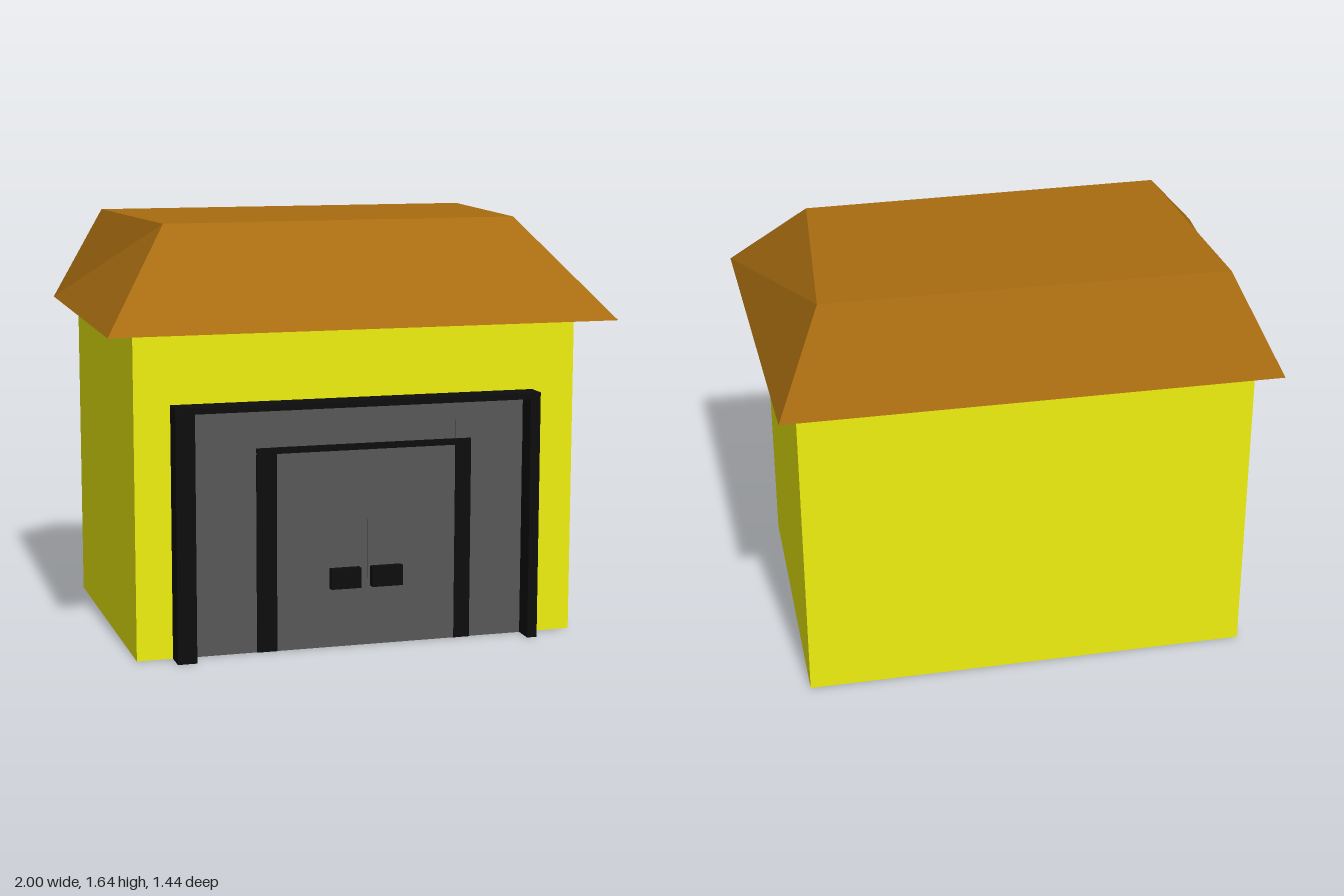
import * as THREE from 'three';

const paint = (color) => new THREE.MeshStandardMaterial({ color, flatShading: true });

// Box given by its minimum and maximum corners
function block(parent, name, mat, [x0, y0, z0], [x1, y1, z1]) {
  const geo = new THREE.BoxGeometry(x1 - x0, y1 - y0, z1 - z0);
  geo.translate((x0 + x1) / 2, (y0 + y1) / 2, (z0 + z1) / 2);
  const mesh = new THREE.Mesh(geo, mat);
  mesh.name = name;
  parent.add(mesh);
  return mesh;
}

// Mesh of flat quads, corners counter-clockwise seen from outside
function quads(parent, name, mat, faces) {
  const pos = faces.flatMap(([a, b, c, d]) => [a, b, c, a, c, d]).flat();
  const geo = new THREE.BufferGeometry();
  geo.setAttribute('position', new THREE.Float32BufferAttribute(pos, 3));
  geo.computeVertexNormals();
  const mesh = new THREE.Mesh(geo, mat);
  mesh.name = name;
  parent.add(mesh);
}

export function createModel() {
  const model = new THREE.Group();
  model.name = 'garage';
  const yellow = paint(0xf0f010), brown = paint(0xa86c10);
  const black = paint(0x0d0d0d), darkGrey = paint(0x575757), grey = paint(0xcccccc);
  const wallZ = 0.565;

  // Walls
  block(model, 'walls', yellow, [-0.88, 0, -0.63], [0.88, 1.26, wallZ]);

  // Slightly skewed hipped roof with a flat top
  const eaves = [[-1, 0.72], [1, 0.72], [0.95, -0.7], [-0.97, -0.72]].map(([x, z]) => [x, 1.26, z]);
  const crown = [[-0.71, 0.33], [0.71, 0.33], [0.77, -0.51], [-0.79, -0.54]].map(([x, z]) => [x, 1.64, z]);
  const slopes = eaves.map((e, i) => {
    const j = (i + 1) % 4;
    return [e, eaves[j], crown[j], crown[i]];
  });
  quads(model, 'roof', brown, [...slopes, crown]);
  quads(model, 'roofUnderside', grey, [[...eaves].reverse()]);

  // Projecting outer frame
  const frame = new THREE.Group();
  frame.name = 'outerFrame';
  model.add(frame);
  block(frame, 'frameLeftPost', black, [0.67, 0, wallZ], [0.71, 0.955, 0.655]);
  block(frame, 'frameRightPost', black, [-0.74, 0, wallZ], [-0.665, 0.955, 0.655]);
  block(frame, 'frameLintel', black, [-0.74, 0.955, wallZ], [0.71, 0.98, 0.655]);

  // Grey infill with door leaves and inner posts
  const front = new THREE.Group();
  front.name = 'entrance';
  model.add(front);
  block(front, 'infillPanel', darkGrey, [-0.665, 0, wallZ], [0.67, 0.955, wallZ + 0.003]);
  for (const [x0, x1] of [[-0.33, 0.025], [0.035, 0.39]])
    block(front, 'doorLeaf', darkGrey, [x0, 0, wallZ], [x1, 0.775, wallZ + 0.006]);
  for (const [x0, x1] of [[-0.41, -0.33], [0.39, 0.455]]) {
    block(front, 'innerPost', black, [x0, 0, wallZ], [x1, 0.8, wallZ + 0.008]);
    block(front, 'postCap', darkGrey, [x0, 0.8, wallZ], [x1, 0.905, wallZ + 0.006]);
  }
  block(front, 'innerLintel', black, [-0.33, 0.775, wallZ], [0.39, 0.8, wallZ + 0.008]);
  for (const [x0, x1] of [[-0.665, -0.41], [0.455, 0.67]])
    block(front, 'sideRail', darkGrey, [x0, 0.775, wallZ], [x1, 0.805, wallZ + 0.006]);

  // Handles
  block(front, 'rightHandle', black, [-0.12, 0.235, wallZ], [0, 0.315, wallZ + 0.035]);
  block(front, 'leftHandle', black, [0.045, 0.235, wallZ], [0.17, 0.315, wallZ + 0.035]);

  return model;
}
